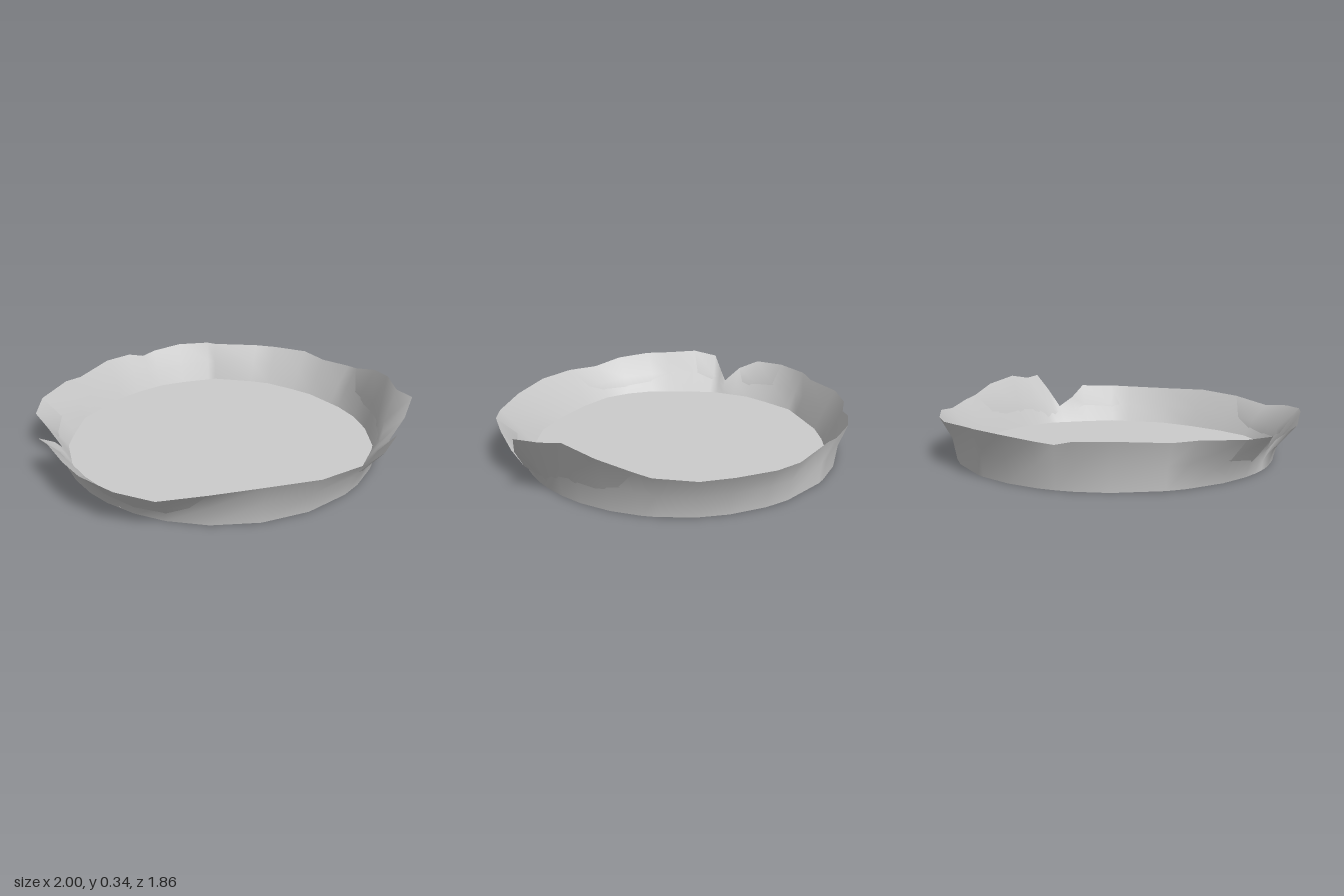
import * as THREE from 'three';

// torn rim outline, clockwise from the back: x, y, z
const RIM = [
  [0.05, 0.24, -0.93], [0.10, 0.235, -0.91], [0.37, 0.225, -0.875], [0.50, 0.225, -0.82],
  [0.67, 0.23, -0.70], [0.76, 0.215, -0.57], [0.87, 0.235, -0.40], [0.89, 0.25, -0.32],
  [0.95, 0.30, -0.16], [0.955, 0.335, 0.02], [0.96, 0.31, 0.15], [1.0, 0.315, 0.27],
  [0.95, 0.22, 0.32], [0.865, 0.105, 0.35], [0.845, 0.16, 0.45], [0.825, 0.235, 0.53],
  [0.70, 0.23, 0.69], [0.59, 0.225, 0.77], [0.34, 0.225, 0.875], [0.08, 0.235, 0.92],
  [-0.18, 0.22, 0.925], [-0.41, 0.19, 0.895], [-0.59, 0.215, 0.83], [-0.74, 0.23, 0.70],
  [-0.82, 0.235, 0.57], [-0.90, 0.25, 0.41], [-0.96, 0.22, 0.28], [-0.89, 0.15, 0.20],
  [-0.86, 0.09, 0.15], [-0.93, 0.17, 0.08], [-1.0, 0.215, -0.02], [-0.98, 0.225, -0.20],
  [-0.86, 0.235, -0.40], [-0.78, 0.225, -0.48], [-0.62, 0.24, -0.69], [-0.48, 0.235, -0.79],
  [-0.39, 0.212, -0.815], [-0.31, 0.225, -0.87], [-0.14, 0.24, -0.925],
].map((p) => new THREE.Vector3(...p));

// irregular floor polygon: x, z
const FLOOR = [
  [0.10, -0.84], [0.41, -0.73], [0.65, -0.52], [0.82, -0.23], [0.86, -0.03],
  [0.825, 0.24], [0.61, 0.57], [0.235, 0.78], [-0.295, 0.79], [-0.57, 0.64],
  [-0.81, 0.22], [-0.845, -0.02], [-0.78, -0.34], [-0.51, -0.65], [-0.235, -0.80],
];

// point on the floor edge in the direction of p
function onFloorEdge(p) {
  for (let i = 0; i < FLOOR.length; i++) {
    const [ax, az] = FLOOR[i], [bx, bz] = FLOOR[(i + 1) % FLOOR.length];
    const ex = bx - ax, ez = bz - az;
    const d = p.x * ez - p.z * ex;
    const t = (ax * ez - az * ex) / d; // distance along p
    const s = (ax * p.z - az * p.x) / d; // position along the edge
    if (t > 0 && s >= -1e-6 && s <= 1 + 1e-6) return new THREE.Vector3(p.x * t, 0.01, p.z * t);
  }
  return new THREE.Vector3(p.x * 0.88, 0.01, p.z * 0.88);
}

// point on the outer foot below p
function onFoot(p) {
  const a = Math.atan2(p.z, p.x);
  return new THREE.Vector3(0.868 * Math.cos(a), 0, 0.865 * Math.sin(a) - 0.015);
}

// ring between foot and rim: out and up are fractions of the way
const between = (ring, out, up) => ring.map((p, i) => {
  const q = p.clone().lerp(RIM[i], out);
  q.y = THREE.MathUtils.lerp(p.y, RIM[i].y, up);
  return q;
});

// skin over closed rings, listed bottom to top
function loft(rings, inward) {
  const n = rings[0].length, index = [];
  for (let r = 0; r < rings.length - 1; r++) {
    for (let i = 0; i < n; i++) {
      const j = (i + 1) % n;
      const a = r * n + i, b = a + n, c = r * n + j, d = c + n;
      if (inward) index.push(a, c, b, c, d, b);
      else index.push(a, b, c, c, b, d);
    }
  }
  const g = new THREE.BufferGeometry().setFromPoints(rings.flat());
  g.setIndex(index);
  g.computeVertexNormals();
  return g;
}

// flat horizontal polygon facing up
function slab(points, y) {
  const shape = new THREE.Shape(points.map(([x, z]) => new THREE.Vector2(x, -z)));
  return new THREE.ShapeGeometry(shape).rotateX(-Math.PI / 2).translate(0, y, 0);
}

export function createModel() {
  const group = new THREE.Group();
  group.name = 'tornDish';
  const material = new THREE.MeshStandardMaterial({ color: 0xcccccc, side: THREE.DoubleSide });
  const add = (name, geometry) => {
    const mesh = new THREE.Mesh(geometry, material);
    mesh.name = name;
    group.add(mesh);
  };

  // wall: outer and inner skins meeting in a sharp rim
  const foot = RIM.map(onFoot);
  const floorEdge = RIM.map(onFloorEdge);
  add('outerWall', loft([foot, between(foot, 0.25, 0.5), RIM], false));
  add('innerWall', loft([floorEdge, between(floorEdge, 0.45, 0.5), RIM], true));

  // floor and underside
  add('floor', slab(FLOOR, 0.01));
  add('underside', slab(foot.map((p) => [p.x, p.z]), 0));
  return group;
}
